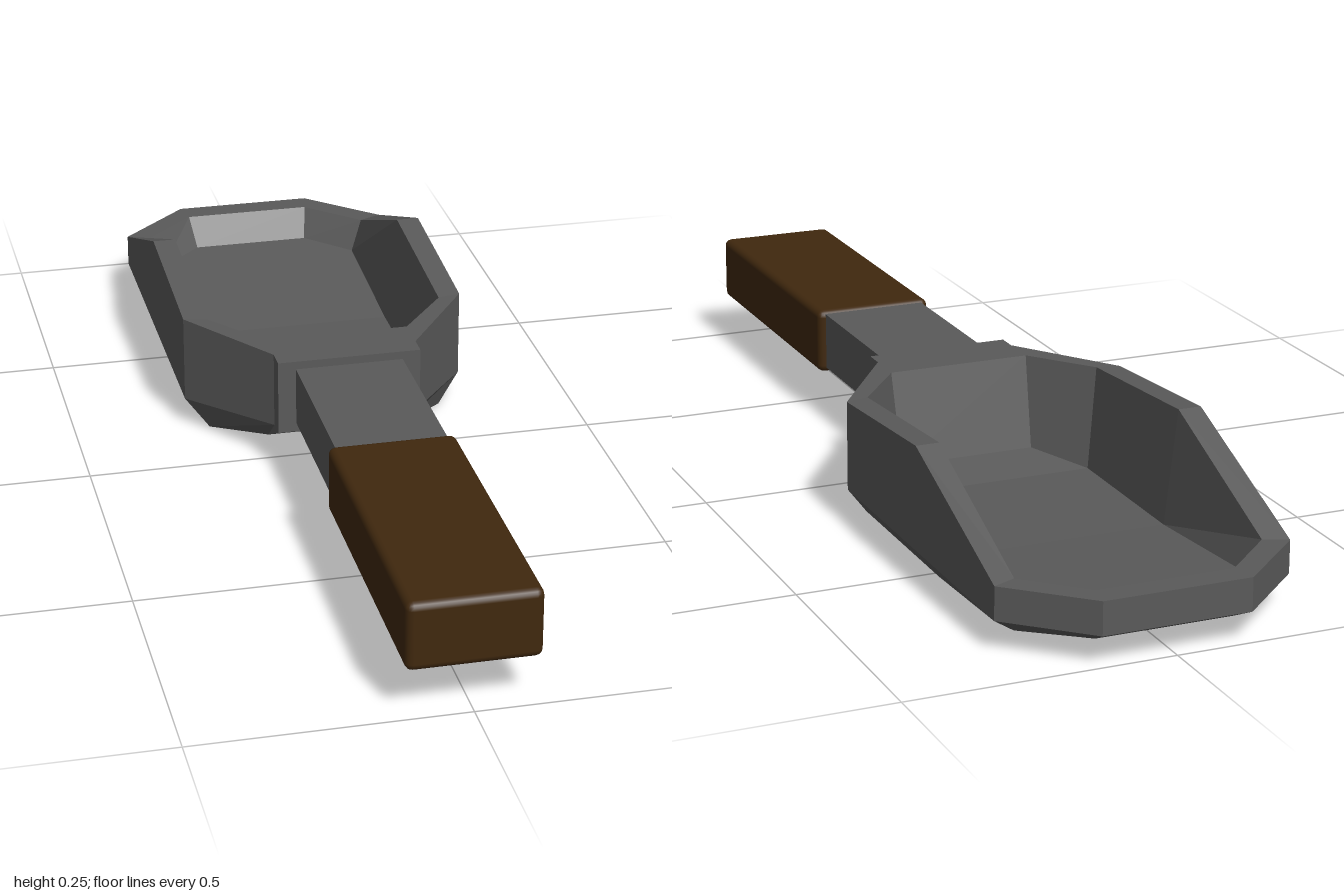
import * as THREE from 'three';
import { RoundedBoxGeometry } from 'three/addons/geometries/RoundedBoxGeometry.js';

const metal = new THREE.MeshStandardMaterial({ color: 0x5a5a5a, flatShading: true });
const wood = new THREE.MeshStandardMaterial({ color: 0x40280e });

// Half outlines [x, y, z], each running from the handle end to the tip.
const sections = [
  // underside
  [[0.14, 0.03, -0.04], [0.14, 0.03, -0.04], [0.235, 0, -0.16], [0.235, 0, -0.52], [0.235, 0.025, -0.85], [0.13, 0.032, -0.95]],
  // lower edge of the wall
  [[0.14, 0.082, 0.06], [0.14, 0.08, 0.02], [0.28, 0.057, -0.18], [0.28, 0.057, -0.52], [0.28, 0.057, -0.87], [0.14, 0.057, -1]],
  // outer rim
  [[0.14, 0.23, 0.06], [0.14, 0.23, 0.02], [0.28, 0.23, -0.18], [0.28, 0.255, -0.52], [0.28, 0.12, -0.87], [0.14, 0.12, -1]],
  // inner rim
  [[0.14, 0.23, -0.05], [0.14, 0.23, -0.05], [0.235, 0.23, -0.17], [0.235, 0.255, -0.52], [0.235, 0.12, -0.85], [0.13, 0.12, -0.95]],
  // edge of the inner floor
  [[0.135, 0.055, -0.09], [0.135, 0.055, -0.09], [0.21, 0.035, -0.19], [0.21, 0.035, -0.52], [0.21, 0.058, -0.83], [0.12, 0.063, -0.91]],
];

// Mirror each half outline into a closed loop, skin the loops and cap both ends.
function bowlGeometry() {
  const loops = sections.map((half) => [
    ...half,
    ...[...half].reverse().map(([x, y, z]) => [-x, y, z]),
  ]);
  const n = loops[0].length;
  const positions = [];
  const quad = (a, b, c, d) => positions.push(...a, ...b, ...c, ...a, ...c, ...d);

  for (let r = 0; r < loops.length - 1; r++) {
    const a = loops[r], b = loops[r + 1];
    for (let i = 0; i < n; i++) {
      const j = (i + 1) % n;
      quad(a[i], a[j], b[j], b[i]);
    }
  }
  const floor = loops[loops.length - 1], base = loops[0];
  for (let i = 1; i < n / 2 - 1; i++) {
    quad(floor[i], floor[i + 1], floor[n - 2 - i], floor[n - 1 - i]);
    quad(base[n - 1 - i], base[n - 2 - i], base[i + 1], base[i]);
  }
  const geometry = new THREE.BufferGeometry();
  geometry.setAttribute('position', new THREE.Float32BufferAttribute(positions, 3));
  geometry.computeVertexNormals();
  return geometry;
}

export function createModel() {
  const group = new THREE.Group();
  group.name = 'scoop';
  const add = (name, geometry, material, y = 0, z = 0) => {
    const mesh = new THREE.Mesh(geometry, material);
    mesh.name = name;
    mesh.position.set(0, y, z);
    group.add(mesh);
  };

  add('bowl', bowlGeometry(), metal);
  // shaft runs from inside the collar into the grip
  add('shaft', new THREE.BoxGeometry(0.21, 0.114, 0.39), metal, 0.157, 0.225);
  add('grip', new RoundedBoxGeometry(0.24, 0.13, 0.6, 2, 0.014), wood, 0.155, 0.7);
  return group;
}
